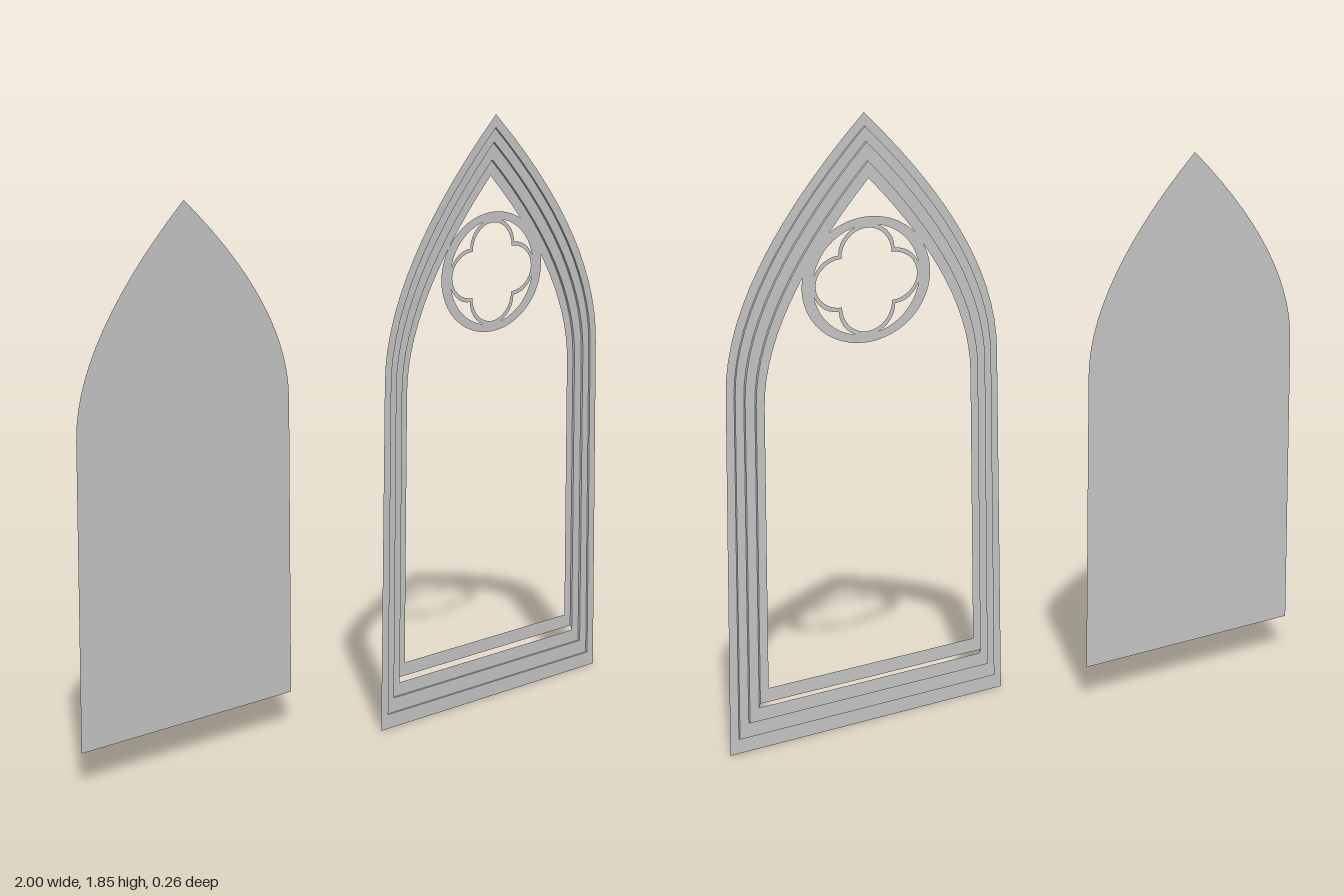
import * as THREE from 'three';

const grey = new THREE.MeshStandardMaterial({ color: 0xcccccc, flatShading: true, side: THREE.DoubleSide });

// Pointed-arch outline, starting and ending at the two bottom corners
function archPoints({ cx, tipX = cx, base, spring, bottom, springY, tip }) {
  const controlY = springY + 0.44 * (tip - springY);
  const side = (s) => new THREE.QuadraticBezierCurve(
    new THREE.Vector2(cx + s * spring, springY),
    new THREE.Vector2(cx + s * spring, controlY),
    new THREE.Vector2(tipX, tip)).getPoints(14);
  return [
    new THREE.Vector2(cx + base, bottom),
    ...side(1),
    ...side(-1).reverse().slice(1),
    new THREE.Vector2(cx - base, bottom),
  ];
}

// Flat sheet at depth z, with optional hole
function sheet(name, outline, hole, z) {
  const shape = new THREE.Shape(outline);
  if (hole) shape.holes.push(new THREE.Path(hole));
  const mesh = new THREE.Mesh(new THREE.ShapeGeometry(shape), grey);
  mesh.name = name;
  mesh.position.z = z;
  return mesh;
}

// Narrow wall joining two matching outlines at different depths
function riser(name, a, za, b, zb, closed) {
  const pos = [], index = [], n = a.length;
  for (let i = 0; i < n; i++) pos.push(a[i].x, a[i].y, za, b[i].x, b[i].y, zb);
  for (let i = 0; i < (closed ? n : n - 1); i++) {
    const p = 2 * i, q = 2 * ((i + 1) % n);
    index.push(p, q, p + 1, q, q + 1, p + 1);
  }
  const geo = new THREE.BufferGeometry();
  geo.setAttribute('position', new THREE.Float32BufferAttribute(pos, 3));
  geo.setIndex(index);
  geo.computeVertexNormals();
  const mesh = new THREE.Mesh(geo, grey);
  mesh.name = name;
  return mesh;
}

function ellipsePoints(rx, ry) {
  return new THREE.EllipseCurve(0, 0, rx, ry).getPoints(48).slice(0, -1);
}

// Four half-ellipse lobes meeting at the cusps (cx, cy)
function quatrefoilPoints(cx, cy, ex, ey) {
  const pts = [];
  for (let k = 0; k < 4; k++) {
    const a = k * Math.PI / 2, dx = Math.round(Math.cos(a)), dy = Math.round(Math.sin(a));
    const rx = dx ? ex - cx : cx, ry = dx ? cy : ey - cy;
    const lobe = new THREE.EllipseCurve(dx * cx, dy * cy, rx, ry, a - Math.PI / 2, a + Math.PI / 2);
    pts.push(...lobe.getPoints(16).slice(0, -1));
  }
  return pts;
}

export function createModel() {
  const model = new THREE.Group();
  model.name = 'gothicWindow';

  // Glass pane set well behind the frame
  model.add(sheet('pane', archPoints({
    cx: -0.575, base: 0.426, spring: 0.423, bottom: 0.1, springY: 1.02, tip: 1.665,
  }), null, -0.129));

  // Stepped frame: four nested bands, receding inward
  const frame = new THREE.Group();
  frame.name = 'frame';
  const edge = (base, spring, bottom, springY, tip) =>
    archPoints({ cx: 0.491, tipX: 0.488, base, spring, bottom, springY, tip });
  const edges = [
    edge(0.508, 0.495, 0, 1.08, 1.85),
    edge(0.477, 0.467, 0.045, 1.07, 1.81),
    edge(0.445, 0.438, 0.09, 1.055, 1.765),
    edge(0.412, 0.405, 0.145, 1.04, 1.71),
    edge(0.382, 0.376, 0.187, 1.03, 1.66),
  ];
  const slotEdge = edge(0.412, 0.405, 0.131, 1.04, 1.71); // leaves a slot above the sill
  const depths = [0.129, 0.123, 0.116, 0.109];
  depths.forEach((z, i) => {
    const inner = i === 2 ? slotEdge : edges[i + 1];
    frame.add(sheet('frameBand' + (i + 1), edges[i], inner, z));
    if (i < 3) frame.add(riser('frameStep' + (i + 1), inner, z, edges[i + 1], depths[i + 1], i !== 2));
  });
  model.add(frame);

  // Oval tracery with a quatrefoil inside
  const rosette = new THREE.Group();
  rosette.name = 'rosette';
  rosette.position.set(0.497, 1.361, 0.111);
  rosette.add(sheet('rosetteRing', ellipsePoints(0.233, 0.187), ellipsePoints(0.193, 0.163), 0));
  rosette.add(sheet('quatrefoil',
    quatrefoilPoints(0.102, 0.083, 0.196, 0.166),
    quatrefoilPoints(0.091, 0.072, 0.184, 0.154), 0));
  model.add(rosette);

  return model;
}
